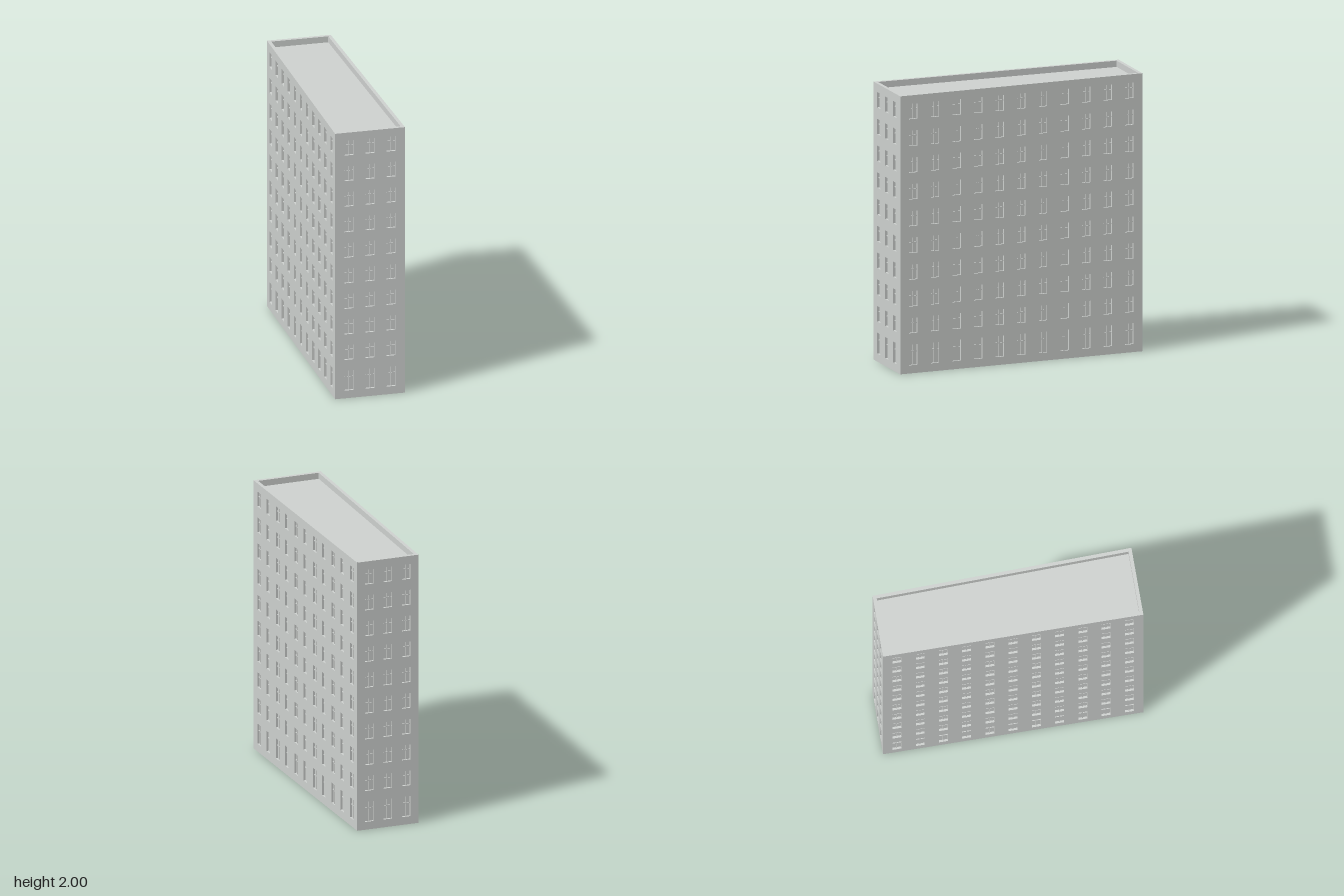
import * as THREE from 'three';
import { mergeGeometries } from 'three/addons/utils/BufferGeometryUtils.js';

const H = 2, THICK = 0.025, RECESS = 0.016, ROOF = 1.955, WIN_W = 0.064;

// Footprint corners (x, z), ordered so every wall faces outwards
const CORNERS = [[-0.832, -0.5], [0.47, 0.82], [0.832, 0.465], [-0.5, -0.82]]
  .map(([x, z]) => new THREE.Vector2(x, z));

// Ten storeys; the ground floor openings are taller
const STOREYS = Array.from({ length: 10 }, (_, i) =>
  i === 0 ? { y: 0.133, h: 0.15 } : { y: 0.344 + (i - 1) * 0.1925, h: 0.11 });

// Evenly spaced window centres along a wall
function columns(length, count) {
  const margin = count > 3 ? 0.054 : 0.2;
  return Array.from({ length: count }, (_, i) =>
    length * (margin + (1 - 2 * margin) * i / (count - 1)));
}

// Rectangle outline, used for walls and openings
function rect(Kind, x0, y0, x1, y1) {
  const r = new Kind();
  r.moveTo(x0, y0).lineTo(x1, y0).lineTo(x1, y1).lineTo(x0, y1).closePath();
  return r;
}

// Wall panel with openings, mitred at both ends
function wallGeometry(length, centres) {
  const shape = rect(THREE.Shape, 0, 0, length, H);
  for (const x of centres) for (const { y, h } of STOREYS)
    shape.holes.push(rect(THREE.Path, x - WIN_W / 2, y - h / 2, x + WIN_W / 2, y + h / 2));
  const geo = new THREE.ExtrudeGeometry(shape, { depth: THICK, bevelEnabled: false });
  geo.translate(0, 0, -THICK);
  const p = geo.attributes.position;
  for (let i = 0; i < p.count; i++) {
    if (p.getZ(i) > -THICK / 2) continue;
    if (p.getX(i) < 1e-4) p.setX(i, THICK);
    else if (p.getX(i) > length - 1e-4) p.setX(i, length - THICK);
  }
  geo.computeVertexNormals();
  return geo;
}

// Mullion and transom bars set inside each opening
function barGeometry(centres) {
  const bars = [];
  const depth = 0.006, z = -RECESS + depth / 2;
  for (const x of centres) for (const { y, h } of STOREYS) {
    bars.push(new THREE.BoxGeometry(0.006, h, depth).translate(x, y, z));
    bars.push(new THREE.BoxGeometry(WIN_W, 0.006, depth).translate(x, y + h * 0.15, z));
  }
  return mergeGeometries(bars);
}

// Solid core: window panes, roof deck and underside
function coreGeometry() {
  const inset = CORNERS.map((c, i) => {
    const a = CORNERS[(i + 3) % 4].clone().sub(c).normalize();
    const b = CORNERS[(i + 1) % 4].clone().sub(c).normalize();
    const q = a.add(b).multiplyScalar(RECESS).add(c);
    return new THREE.Vector2(q.x, -q.y);
  });
  const geo = new THREE.ExtrudeGeometry(new THREE.Shape(inset), { depth: ROOF, bevelEnabled: false });
  return geo.rotateX(-Math.PI / 2);
}

export function createModel() {
  const concrete = new THREE.MeshStandardMaterial({ color: 0xcfd2d0 });
  concrete.name = 'concrete grey';
  const model = new THREE.Group();
  model.name = 'apartmentBlock';

  const add = (parent, name, geo) => {
    const mesh = new THREE.Mesh(geo, concrete);
    mesh.name = name;
    parent.add(mesh);
  };

  add(model, 'roofAndPanes', coreGeometry());

  const names = ['frontLongWall', 'frontEndWall', 'backLongWall', 'backEndWall'];
  CORNERS.forEach((start, i) => {
    const dir = CORNERS[(i + 1) % 4].clone().sub(start);
    const length = dir.length();
    const centres = columns(length, i % 2 ? 3 : 11);
    const side = new THREE.Group();
    side.name = names[i];
    side.position.set(start.x, 0, start.y);
    side.rotation.y = Math.atan2(-dir.y, dir.x);
    add(side, 'wallPanel', wallGeometry(length, centres));
    add(side, 'windowBars', barGeometry(centres));
    model.add(side);
  });
  return model;
}
